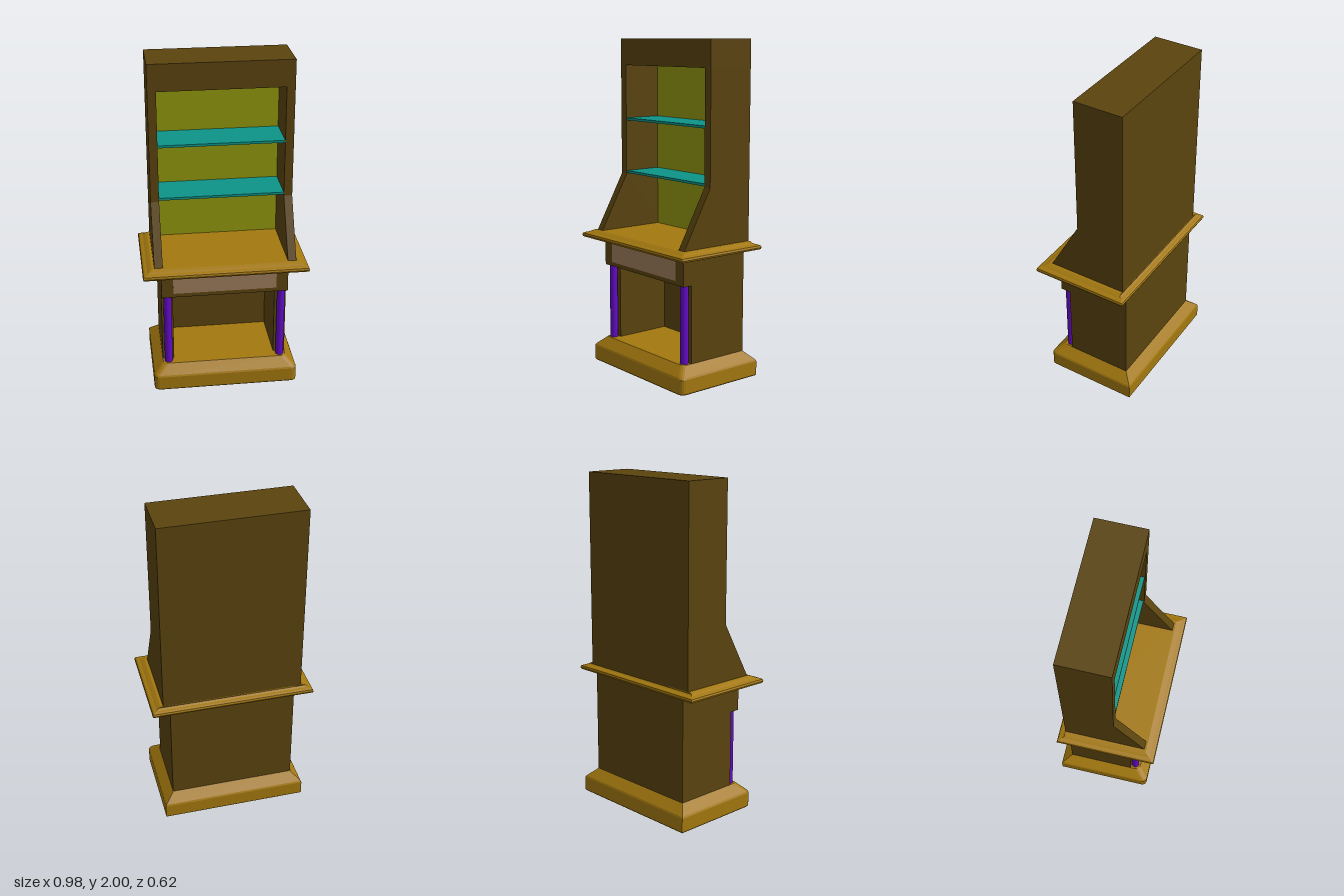
import * as THREE from 'three';

const mat = (color, flatShading = false) => new THREE.MeshStandardMaterial({ color, flatShading });

export function createModel() {
  const model = new THREE.Group();
  const brown = mat(0x5a430e), honey = mat(0xa3780f, true), olive = mat(0x93980e);
  const teal = mat(0x0e9488), purple = mat(0x640ac8), tan = mat(0x9c7c5c);

  const add = (name, geometry, material) => {
    const mesh = new THREE.Mesh(geometry, material);
    mesh.name = name;
    model.add(mesh);
    return mesh;
  };

  // Box given by its limits on each axis
  const box = (name, [x0, x1], [y0, y1], [z0, z1], material) => {
    const g = new THREE.BoxGeometry(x1 - x0, y1 - y0, z1 - z0);
    g.translate((x0 + x1) / 2, (y0 + y1) / 2, (z0 + z1) / 2);
    return add(name, g, material);
  };

  // Stacked rectangles [halfWidth, zBack, zFront, y] with rounded front corners
  const moulding = (name, sections, radius) => {
    const steps = 4;
    const loops = sections.map(([w, zb, zf, y]) => {
      const pts = [new THREE.Vector3(-w, y, zb)];
      for (const side of [-1, 1]) {
        for (let i = 0; i <= steps; i++) {
          const a = (side < 0 ? steps - i : i) / steps * Math.PI / 2;
          pts.push(new THREE.Vector3(
            side * (w - radius + radius * Math.sin(a)), y, zf - radius + radius * Math.cos(a)));
        }
      }
      pts.push(new THREE.Vector3(w, y, zb));
      return pts;
    });
    const tris = [];
    const n = loops[0].length, last = loops.length - 1;
    const centre = k => new THREE.Vector3(0, sections[k][3], 0);
    for (let i = 0; i < n; i++) {
      const j = (i + 1) % n;
      for (let k = 0; k < last; k++) {
        const lo = loops[k], hi = loops[k + 1];
        tris.push(lo[i], lo[j], hi[j], lo[i], hi[j], hi[i]);
      }
      tris.push(centre(last), loops[last][i], loops[last][j]);
      tris.push(centre(0), loops[0][j], loops[0][i]);
    }
    const g = new THREE.BufferGeometry().setFromPoints(tris);
    g.computeVertexNormals();
    return add(name, g, honey);
  };

  // Plinth with sloping shoulders
  moulding('plinth', [
    [0.435, -0.305, 0.265, 0], [0.44, -0.31, 0.27, 0.006], [0.44, -0.31, 0.27, 0.09],
    [0.435, -0.305, 0.265, 0.1], [0.385, -0.255, 0.215, 0.147], [0.38, -0.25, 0.21, 0.152],
  ], 0.03);

  // Lower cabinet: back, side walls, columns, apron and drawer
  box('lowerBack', [-0.31, 0.31], [0.15, 0.62], [-0.25, -0.2], brown);
  for (const s of [-1, 1]) {
    box('lowerSide', s < 0 ? [-0.38, -0.31] : [0.31, 0.38], [0.15, 0.62], [-0.25, 0.15], brown);
    const column = add('column', new THREE.CylinderGeometry(0.024, 0.024, 0.47, 24), purple);
    column.position.set(s * 0.345, 0.385, 0.175);
  }
  box('apron', [-0.38, 0.38], [0.615, 0.785], [-0.25, 0.21], brown);
  box('drawerFront', [-0.31, 0.31], [0.64, 0.76], [0.19, 0.212], tan);

  // Counter with a rounded edge and a stepped upper lip
  moulding('counter', [
    [0.475, -0.275, 0.295, 0.784], [0.486, -0.286, 0.306, 0.788], [0.49, -0.29, 0.31, 0.798],
    [0.486, -0.286, 0.306, 0.81], [0.475, -0.275, 0.295, 0.815], [0.462, -0.262, 0.282, 0.818],
    [0.45, -0.25, 0.268, 0.825], [0.435, -0.25, 0.25, 0.832],
  ], 0.005);

  // Upper side panels, sweeping forward at the bottom
  const profile = new THREE.Shape([
    [-0.25, 0.82], [0.245, 0.82], [0.05, 1.17], [0.05, 1.84], [-0.25, 1.84],
  ].map(p => new THREE.Vector2(...p)));
  for (const right of [-0.37, 0.42]) {
    const g = new THREE.ExtrudeGeometry(profile, { depth: 0.05, bevelEnabled: false });
    g.rotateY(-Math.PI / 2);
    g.translate(right, 0, 0);
    add('upperSide', g, brown);
  }

  // Header, back boards and shelves
  box('header', [-0.42, 0.42], [1.84, 2], [-0.25, 0.05], brown);
  box('upperBack', [-0.37, 0.37], [0.82, 1.84], [-0.25, -0.21], brown);
  box('backLining', [-0.37, 0.37], [0.83, 1.84], [-0.21, -0.195], olive);
  for (const y of [1.175, 1.503]) {
    box('shelf', [-0.37, 0.37], [y, y + 0.015], [-0.2, 0.045], teal);
  }
  return model;
}
